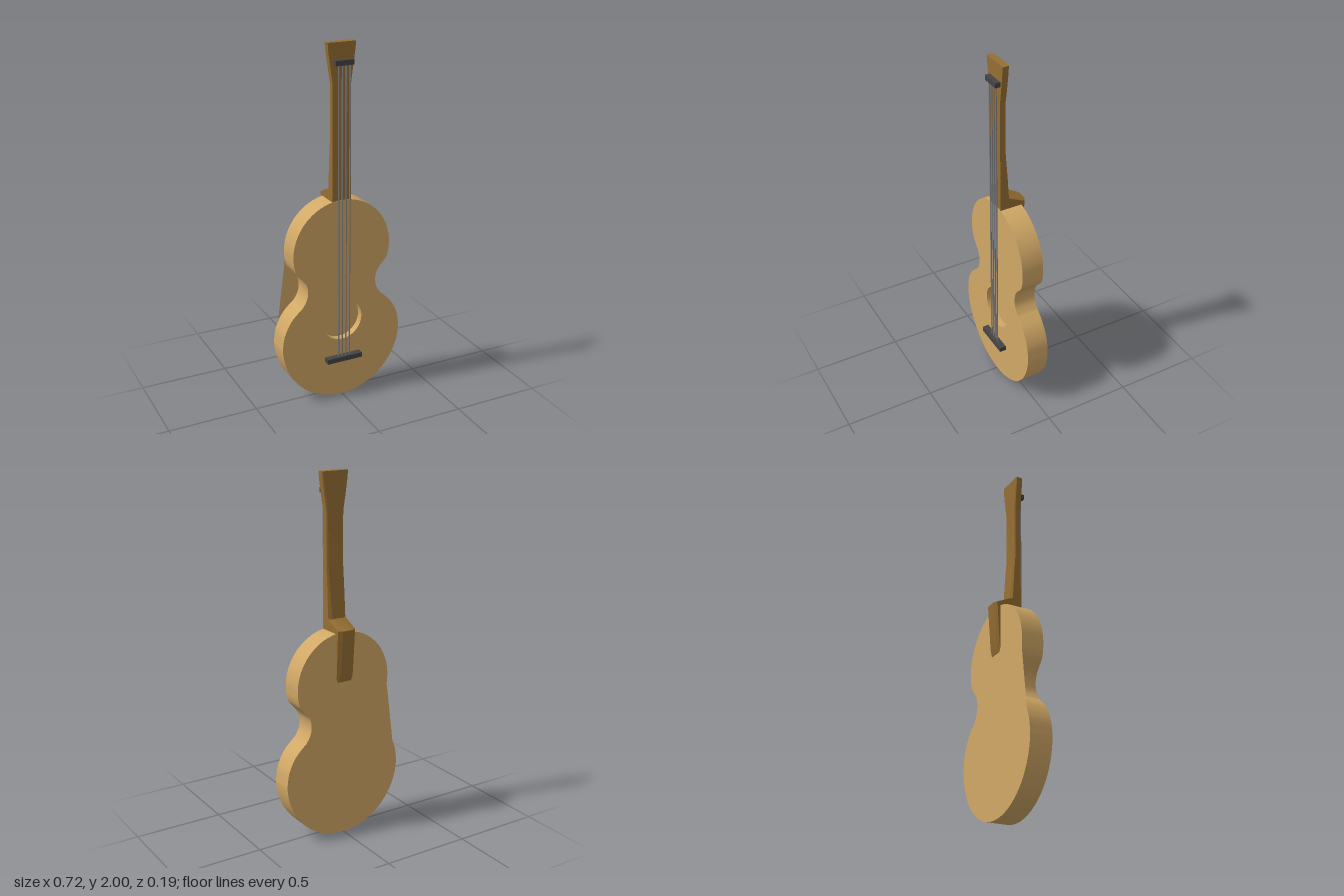
import * as THREE from 'three';
import { toCreasedNormals } from 'three/addons/utils/BufferGeometryUtils.js';

const wood = new THREE.MeshStandardMaterial({ color: 0xd1a866 });
const woodThin = new THREE.MeshStandardMaterial({ color: 0xd1a866, side: THREE.DoubleSide });
const neckWood = new THREE.MeshStandardMaterial({ color: 0x966f33 });
const dark = new THREE.MeshStandardMaterial({ color: 0x444444 });
const steel = new THREE.MeshStandardMaterial({ color: 0x808080 });

const BACK = -0.065, FRONT = 0.06;
const HOLE = { y: 0.467, r: 0.12, floor: 0.02 };

// Right-hand curves of the body, listed upwards
const lowerSide = [[0.358, 0.36], [0.344, 0.44], [0.302, 0.52], [0.235, 0.585]];
const waist = [[0.235, 0.585], [0.212, 0.625], [0.204, 0.67], [0.212, 0.715], [0.235, 0.75]];
const upperSide = [[0.235, 0.75], [0.268, 0.788], [0.283, 0.83], [0.287, 0.88]];

function bodyOutline() {
  const shape = new THREE.Shape();
  const follow = (pts, side) => shape.splineThru(pts.slice(1).map(([x, y]) => new THREE.Vector2(side * x, y)));
  const down = (pts) => follow([...pts].reverse(), -1);
  shape.moveTo(...lowerSide[0]);
  [lowerSide, waist, upperSide].forEach((p) => follow(p, 1));
  shape.absarc(0, 0.88, 0.287, 0, Math.PI, false);
  [upperSide, waist, lowerSide].forEach(down);
  shape.absellipse(0, 0.36, 0.358, 0.36, Math.PI, 2 * Math.PI, false, 0);
  return shape;
}

// Loft through horizontal sections: [y, half width, front z, back z, chamfer]
function loft(rows) {
  const pos = [], idx = [], n = 6;
  for (const [y, w, f, b, c] of rows) {
    const ring = [[w, f], [w, b + c * 0.5], [w - c, b], [c - w, b], [-w, b + c * 0.5], [-w, f]];
    for (const [x, z] of ring) pos.push(x - 0.004, y, z);
  }
  for (let r = 0; r < rows.length - 1; r++) {
    for (let i = 0; i < n; i++) {
      const a = r * n + i, b = r * n + (i + 1) % n;
      idx.push(a, b, a + n, b, b + n, a + n);
    }
  }
  const top = (rows.length - 1) * n;
  for (let i = 1; i < n - 1; i++) {
    idx.push(0, i + 1, i);
    idx.push(top, top + i, top + i + 1);
  }
  const g = new THREE.BufferGeometry();
  g.setAttribute('position', new THREE.Float32BufferAttribute(pos, 3));
  g.setIndex(idx);
  return toCreasedNormals(g, 0.25);
}

export function createModel() {
  const group = new THREE.Group();
  const add = (name, geometry, material, x = 0, y = 0, z = 0) => {
    const mesh = new THREE.Mesh(geometry, material);
    mesh.name = name;
    mesh.position.set(x, y, z);
    group.add(mesh);
    return mesh;
  };

  // Body with a round opening
  const outline = bodyOutline();
  const hole = new THREE.Path();
  hole.absarc(0, HOLE.y, HOLE.r, 0, 2 * Math.PI, true);
  outline.holes.push(hole);
  const body = new THREE.ExtrudeGeometry(outline, { depth: FRONT - BACK, bevelEnabled: false, curveSegments: 24 });
  add('body', toCreasedNormals(body, 0.4), wood, 0, 0, BACK);

  // Plug that forms the floor of the sound hole and closes the back
  const plug = new THREE.CylinderGeometry(HOLE.r, HOLE.r, HOLE.floor - BACK, 48).rotateX(Math.PI / 2);
  add('soundHoleFloor', plug, wood, 0, HOLE.y, (HOLE.floor + BACK) / 2);

  // Thin web of the back panel bridging the waist on one side
  const web = new THREE.Shape();
  web.moveTo(-0.33, 0.475);
  web.lineTo(-0.302, 0.52);
  web.splineThru(waist.map(([x, y]) => new THREE.Vector2(-x, y)));
  web.lineTo(-0.268, 0.788);
  web.lineTo(-0.283, 0.83);
  add('waistWeb', new THREE.ShapeGeometry(web), woodThin, 0, 0, BACK);

  // Neck with flared head, and the heel running down the back
  add('neck', loft([
    [1.15, 0.054, 0.059, -0.06, 0.02],
    [1.18, 0.054, 0.06, -0.097, 0.025],
    [1.225, 0.054, 0.06, 0.0, 0.02],
    [1.36, 0.053, 0.06, 0.011, 0.014],
    [1.52, 0.052, 0.06, 0.025, 0.01],
    [1.79, 0.052, 0.06, 0.025, 0.008],
    [1.86, 0.062, 0.06, 0.023, 0.008],
    [1.96, 0.076, 0.06, 0.022, 0.008],
    [2.0, 0.079, 0.06, 0.022, 0.008],
  ]), neckWood);
  add('heel', loft([
    [0.89, 0.05, -0.05, -0.066, 0.01],
    [0.935, 0.051, -0.05, -0.079, 0.02],
    [1.18, 0.054, -0.05, -0.097, 0.025],
  ]), neckWood);

  // Bridge and nut
  add('bridge', new THREE.BoxGeometry(0.212, 0.028, 0.038), dark, 0, 0.24, 0.078);
  add('nut', new THREE.BoxGeometry(0.104, 0.027, 0.029), dark, 0, 1.899, 0.0735);

  // Strings
  for (let i = 0; i < 4; i++) {
    const g = new THREE.CylinderGeometry(0.0045, 0.0045, 1.66, 8);
    add('string' + (i + 1), g, steel, -0.03 + i * 0.022, 1.07, 0.076);
  }
  return group;
}
